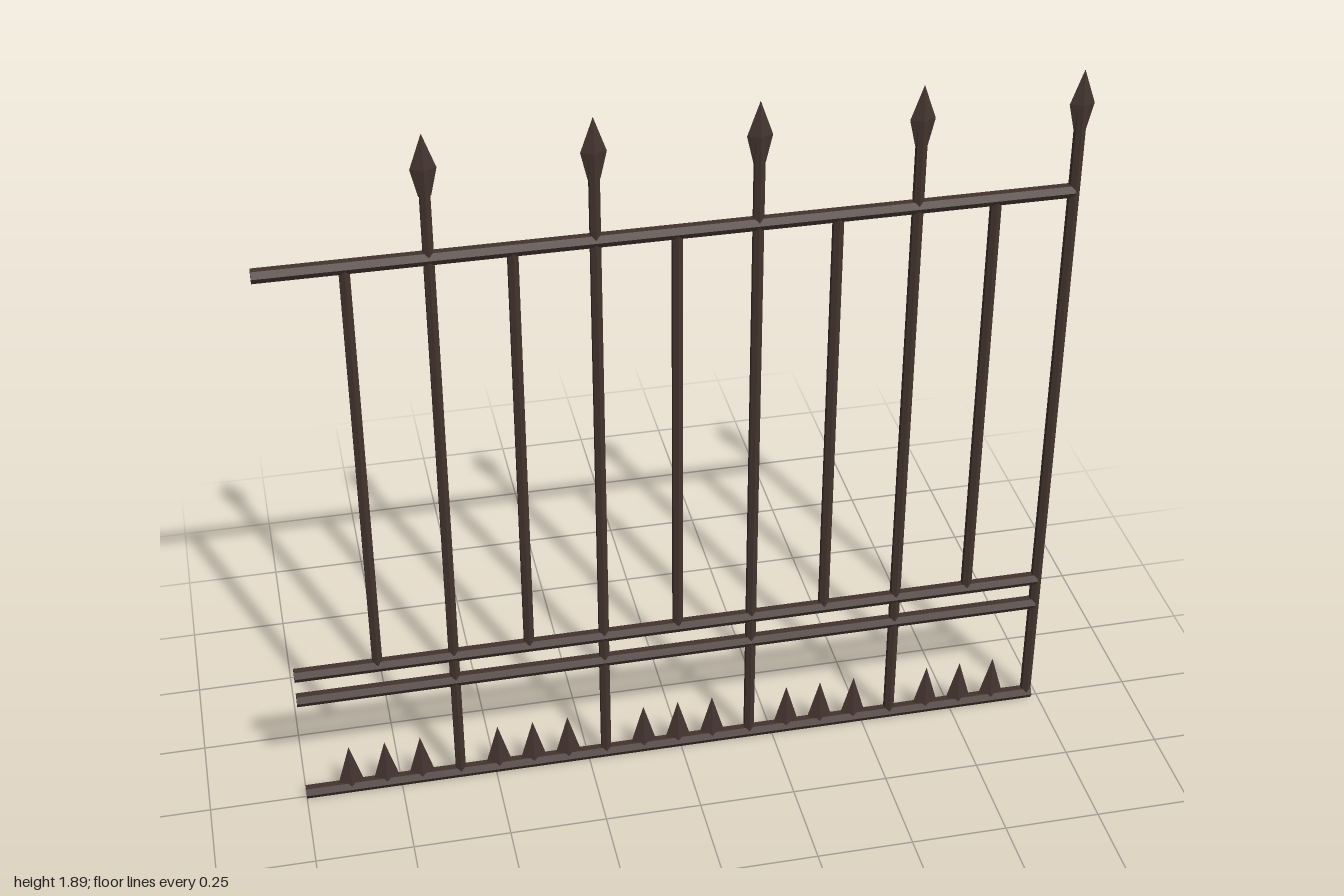
import * as THREE from 'three';

export function createModel() {
  const fence = new THREE.Group();
  fence.name = 'fencePanel';
  const iron = new THREE.MeshStandardMaterial({ color: 0x44342f, flatShading: true });
  iron.name = 'darkIron';

  const add = (name, geometry, x, y) => {
    const mesh = new THREE.Mesh(geometry, iron);
    mesh.name = name;
    mesh.position.set(x, y, 0);
    fence.add(mesh);
  };

  // Upright six-sided bar between two heights
  const upright = (name, x, y0, y1) =>
    add(name, new THREE.CylinderGeometry(0.0145, 0.0145, y1 - y0, 6), x, (y0 + y1) / 2);

  // Horizontal six-sided rail with its edges pointing front and back
  const rail = (name, y, x1) => {
    const g = new THREE.CylinderGeometry(0.018, 0.018, x1 + 1, 6);
    g.rotateZ(Math.PI / 2);
    add(name, g, (x1 - 1) / 2, y);
  };

  rail('bottomRail', 0.016, 0.98);
  rail('lowerRail', 0.325, 0.967);
  rail('middleRail', 0.405, 0.967);
  rail('topRail', 1.57, 0.967);

  // Flattened four-sided spearhead
  const spear = new THREE.LatheGeometry([
    new THREE.Vector2(0, 1.73),
    new THREE.Vector2(0.015, 1.73),
    new THREE.Vector2(0.031, 1.80),
    new THREE.Vector2(0, 1.888),
  ], 4);
  spear.scale(1, 1, 0.42);

  // Flattened four-sided ground spike
  const spike = new THREE.ConeGeometry(0.036, 0.125, 4);
  spike.scale(1, 1, 0.38);

  // Five repeating bays: baluster, spearheaded post and three spikes
  for (let i = 0; i < 5; i++) {
    const post = -0.593 + i * 0.39;
    const mid = post - 0.195;
    upright('post', post, 0.004, 1.8);
    add('spearhead', spear, post, 0);
    upright('baluster', mid, 0.405, 1.57);
    for (const dx of [-0.093, 0, 0.093]) add('groundSpike', spike, mid + dx, 0.0845);
  }
  return fence;
}
